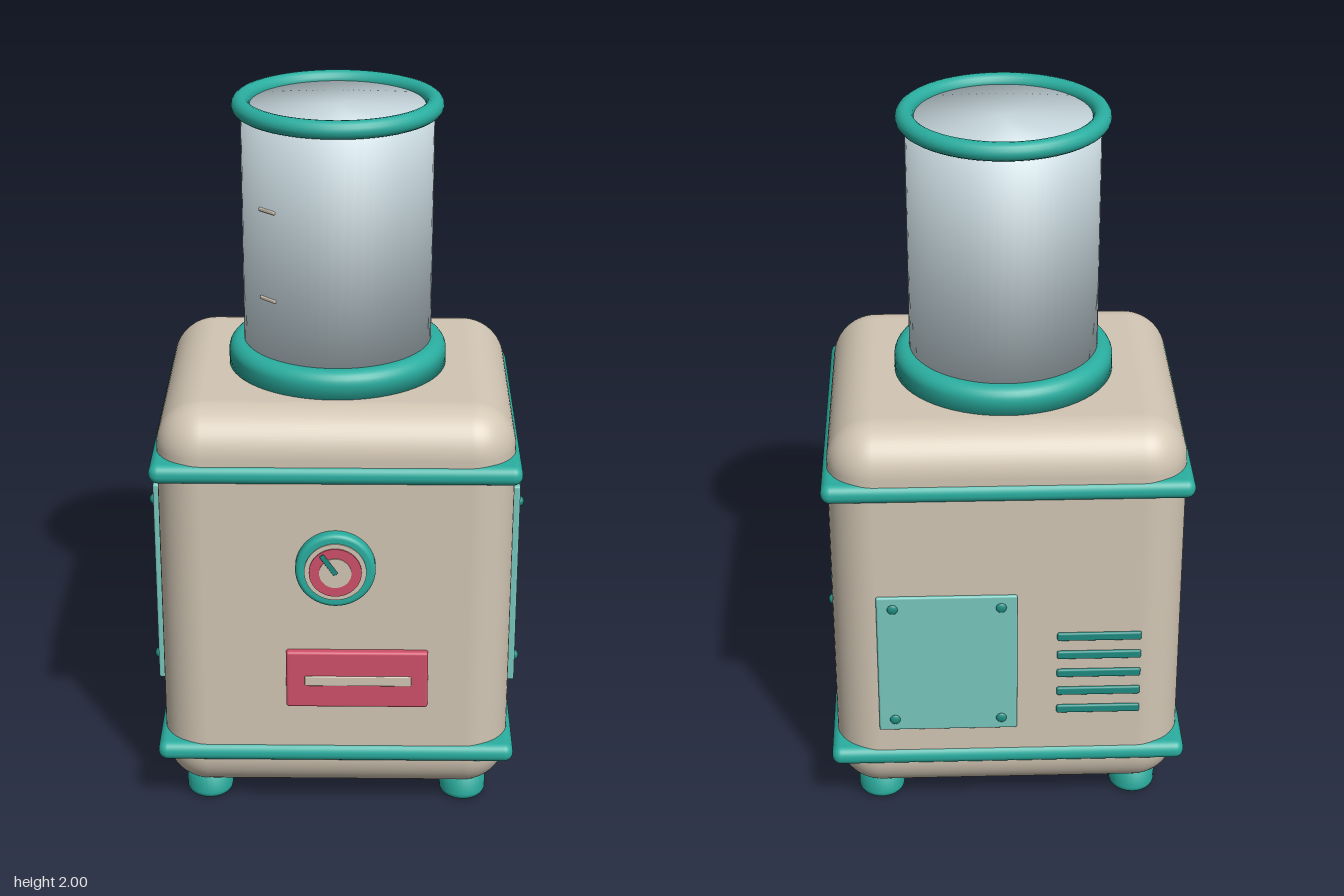
import * as THREE from 'three';
import { RoundedBoxGeometry } from 'three/addons/geometries/RoundedBoxGeometry.js';

const paint = (name, color) => {
  const m = new THREE.MeshStandardMaterial({ color });
  m.name = name;
  return m;
};

export function createModel() {
  const cream = paint('cream', 0xd2c6b4);
  const teal = paint('teal', 0x2aaea0);
  const lightTeal = paint('light teal', 0x78c8be);
  const darkTeal = paint('dark teal', 0x1f8c82);
  const red = paint('red', 0xd0506a);
  const glass = paint('pale glass', 0xc8d8de);

  const model = new THREE.Group();
  model.name = 'machine';
  const CZ = -0.015; // depth centre of the housing
  const FRONT = 0.417, BACK = -0.447, SIDE = 0.49;

  const add = (name, geometry, material, x, y, z, parent = model) => {
    const mesh = new THREE.Mesh(geometry, material);
    mesh.name = name;
    mesh.position.set(x, y, z);
    parent.add(mesh);
    return mesh;
  };
  const box = (w, h, d, r, segments = 3) => new RoundedBoxGeometry(w, h, d, segments, r);
  const lathe = (points, segments = 48) =>
    new THREE.LatheGeometry(points.map(([r, y]) => new THREE.Vector2(r, y)), segments);
  // profile points of a quarter-round edge, from angle a to angle b
  const arc = (cx, cy, r, a, b) => Array.from({ length: 7 }, (_, i) => {
    const t = a + (b - a) * i / 6;
    return [cx + r * Math.cos(t), cy + r * Math.sin(t)];
  });

  // Housing and the two trim bands
  add('housing', box(0.98, 1.175, 0.864, 0.125, 8), cream, 0, 0.6475, CZ);
  for (const y of [0.2025, 1.0675])
    add('trimBand', box(1.008, 0.055, 0.888, 0.026, 5), teal, 0, y, CZ + 0.001);

  // Feet with rounded soles
  const footShape = lathe([[0, 0.005], ...arc(0.045, 0.026, 0.021, -Math.PI / 2, 0), [0.066, 0.12], [0, 0.12]], 32);
  for (const x of [-0.367, 0.367])
    for (const z of [-0.31, 0.31]) add('foot', footShape, teal, x, 0, CZ + z);

  // Collar, closed glass tube and rim
  add('collar', lathe([[0.2, 1.225], [0.305, 1.225], ...arc(0.27, 1.275, 0.035, 0, Math.PI / 2), [0.25, 1.31]], 64),
    teal, 0, 0, CZ);
  const R = 0.263, tubeHeight = 0.735;
  const tubeShape = new THREE.CylinderGeometry(R, R, tubeHeight, 64);
  // soft normals that roll over the tube ends
  const p = tubeShape.attributes.position, n = new THREE.Vector3();
  for (let i = 0; i < p.count; i++) {
    n.set(p.getX(i), Math.sign(p.getY(i)) * R, p.getZ(i)).normalize();
    tubeShape.attributes.normal.setXYZ(i, n.x, n.y, n.z);
  }
  add('tube', tubeShape, glass, 0, 1.24 + tubeHeight / 2, CZ);
  add('tubeRim', new THREE.TorusGeometry(R, 0.025, 16, 64).rotateX(Math.PI / 2), teal, 0, 1.975, CZ);
  for (const y of [1.48, 1.73])
    add('levelMark', box(0.06, 0.01, 0.014, 0.003), cream, -0.184, y, CZ + 0.184).rotation.y = -Math.PI / 4;

  // Dial: bezel, face, coloured ring, centre and needle
  const dial = new THREE.Group();
  dial.name = 'dial';
  dial.position.set(0, 0.795, FRONT);
  model.add(dial);
  const bezel = lathe([[0.11, -0.01], ...arc(0.097, 0.017, 0.013, 0, Math.PI / 2), [0.084, 0.03], [0, 0.03]]);
  add('dialBezel', bezel.rotateX(Math.PI / 2), teal, 0, 0, 0, dial);
  const disc = (name, r, z, material) =>
    add(name, new THREE.CylinderGeometry(r, r, 0.006, 48).rotateX(Math.PI / 2), material, 0, 0, z, dial);
  disc('dialFace', 0.085, 0.031, cream);
  disc('dialRing', 0.072, 0.035, red);
  disc('dialCentre', 0.044, 0.038, cream);
  add('needle', box(0.014, 0.07, 0.006, 0.002), darkTeal, -0.018, 0.026, 0.042, dial).rotation.z = 0.61;

  // Front slot plate
  add('slotPlate', box(0.395, 0.175, 0.03, 0.008), red, 0.06, 0.45, FRONT + 0.005);
  add('slot', box(0.297, 0.03, 0.008, 0.003), cream, 0.063, 0.448, FRONT + 0.02);

  // Bolted cover plate facing +z; bolts sit at the given offsets
  const coverPlate = (name, w, h, thickness, bx, by, boltRise) => {
    const g = new THREE.Group();
    g.name = name;
    add('cover', box(w, h, thickness * 2, 0.006), lightTeal, 0, 0, 0, g);
    for (const x of [-bx, bx])
      for (const y of [-by, by])
        add('bolt', new THREE.SphereGeometry(0.015, 16, 12).scale(1, 1, boltRise / 0.015),
          darkTeal, x, y, thickness, g);
    model.add(g);
    return g;
  };
  for (const s of [-1, 1]) {
    const side = coverPlate('sideCover', 0.2, 0.615, 0.022, 0.061, 0.246, 0.013);
    side.position.set(s * SIDE, 0.6475, 0.1375);
    side.rotation.y = s * Math.PI / 2;
  }
  const rear = coverPlate('backCover', 0.39, 0.445, 0.008, 0.15, 0.185, 0.007);
  rear.position.set(0.17, 0.5225, BACK);
  rear.rotation.y = Math.PI;

  // Back vents
  for (let i = 0; i < 5; i++)
    add('vent', box(0.235, 0.026, 0.014, 0.006), darkTeal, -0.253, 0.36 + i * 0.061, BACK);

  return model;
}
